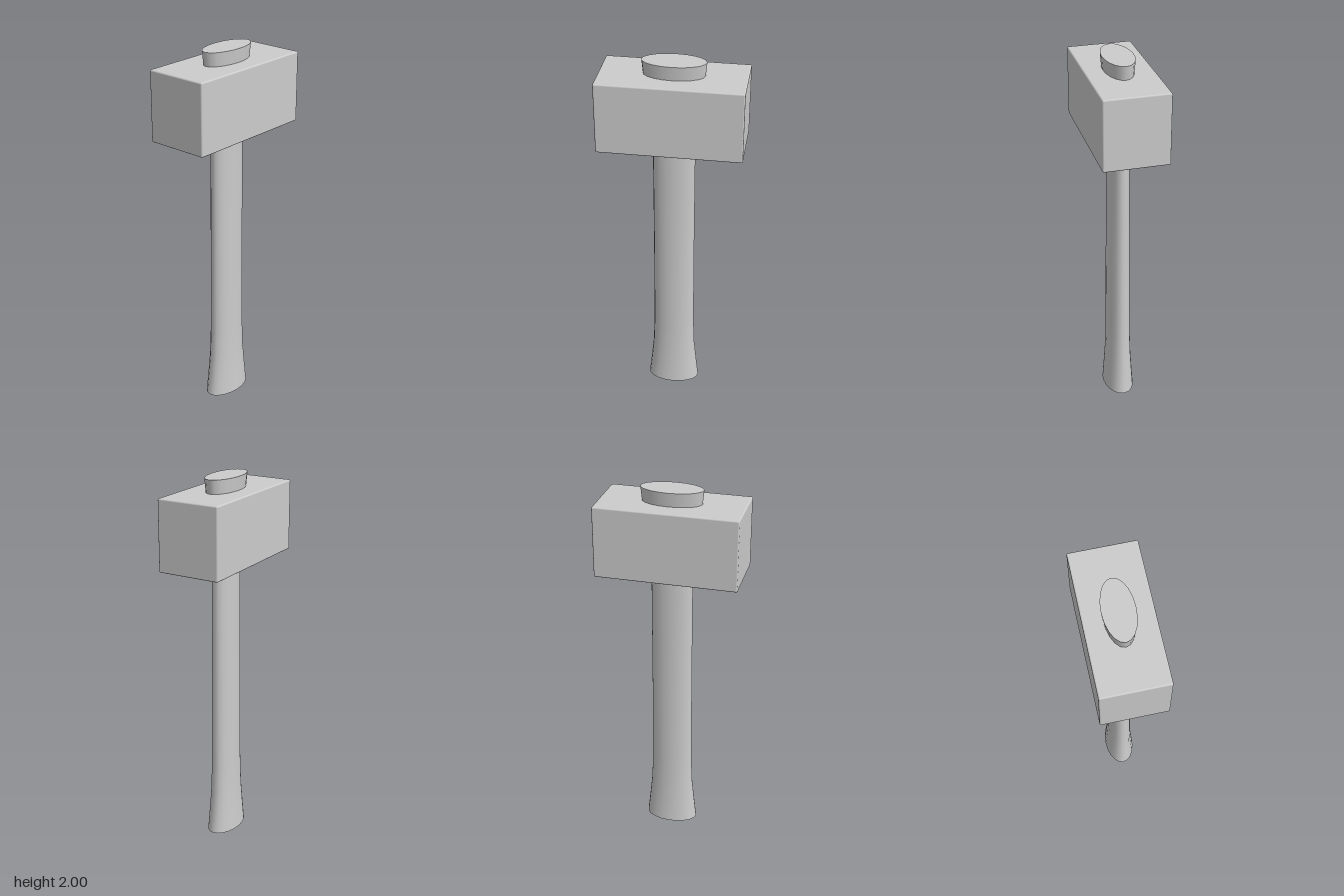
import * as THREE from 'three';
import { toCreasedNormals } from 'three/addons/utils/BufferGeometryUtils.js';
import { RoundedBoxGeometry } from 'three/addons/geometries/RoundedBoxGeometry.js';

// Handle cross-sections from bottom to top: height, half width (x), half depth (z)
const SECTIONS = [
  [0, 0.083, 0.143],
  [0.12, 0.075, 0.13],
  [0.24, 0.068, 0.118],
  [0.4, 0.064, 0.112],
  [0.9, 0.06, 0.11],
  [1.55, 0.055, 0.11],
  [1.75, 0.058, 0.12],
  [1.92, 0.074, 0.155],
  [2, 0.081, 0.163],
];

// Oval shaft: each ring of a unit cylinder is moved to its own section
function ovalShaft(sections, sides) {
  const rings = sections.length - 1;
  const geometry = new THREE.CylinderGeometry(1, 1, 1, sides, rings);
  const p = geometry.attributes.position;
  for (let i = 0; i < p.count; i++) {
    const [y, rx, rz] = sections[Math.round((p.getY(i) + 0.5) * rings)];
    p.setXYZ(i, p.getX(i) * rx, y, p.getZ(i) * rz);
  }
  return toCreasedNormals(geometry, 0.8);
}

export function createModel() {
  const model = new THREE.Group();
  model.name = 'mallet';
  const material = new THREE.MeshStandardMaterial({ color: 0xcccccc });

  // Handle, flared at the foot and wedged through the head
  const handle = new THREE.Mesh(ovalShaft(SECTIONS, 20), material);
  handle.name = 'handle';
  handle.position.z = -0.004;

  // Block head with slightly softened edges
  const head = new THREE.Mesh(new RoundedBoxGeometry(0.344, 0.376, 0.742, 3, 0.008), material);
  head.name = 'head';
  head.position.y = 1.739;

  model.add(handle, head);
  return model;
}
